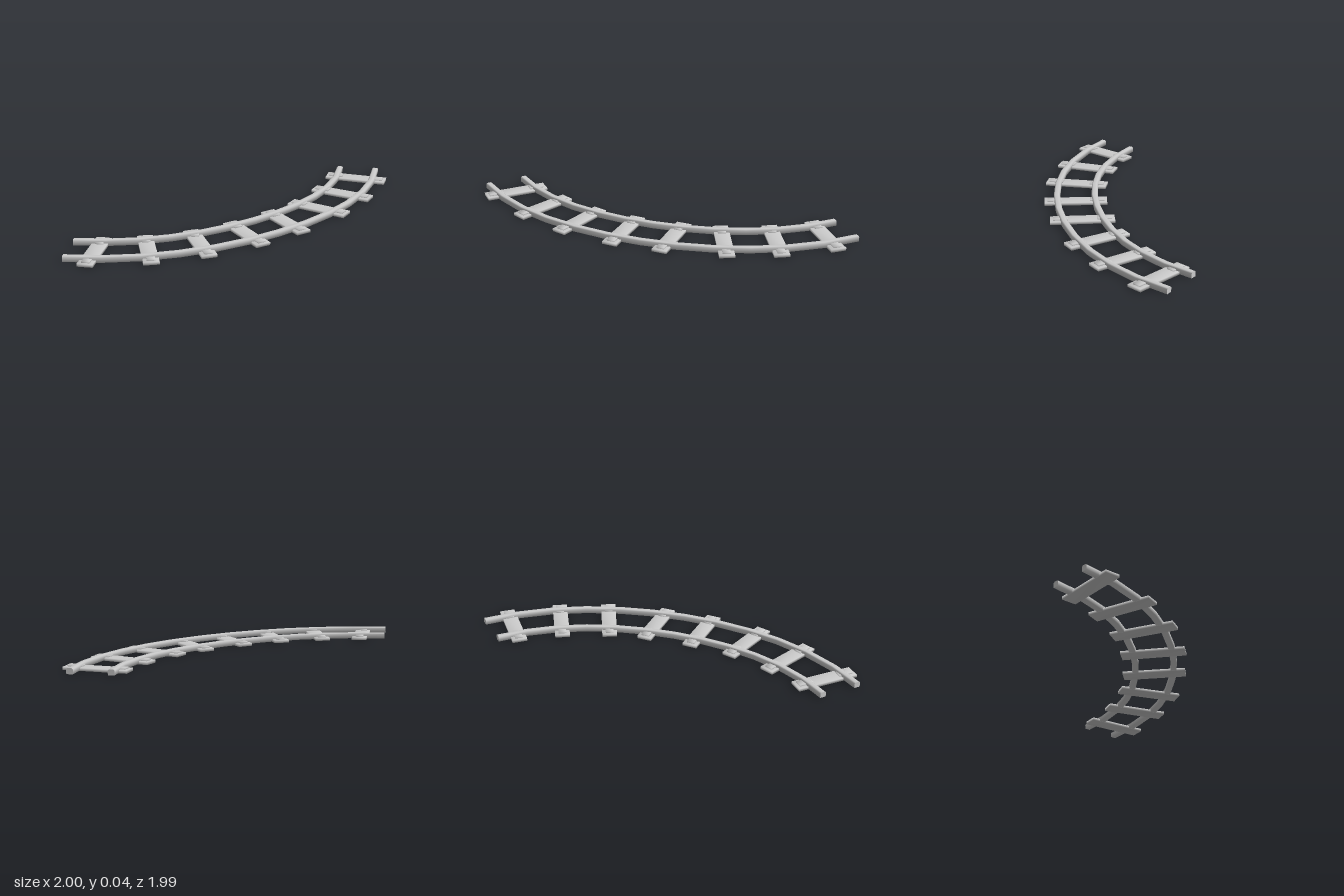
import * as THREE from 'three';
import { mergeVertices } from 'three/addons/utils/BufferGeometryUtils.js';

const material = new THREE.MeshStandardMaterial({ color: 0xcccccc });

// Box whose corners share normals, giving soft shading
function softBox(w, h, d) {
  const g = new THREE.BoxGeometry(w, h, d);
  g.deleteAttribute('normal');
  g.deleteAttribute('uv');
  const merged = mergeVertices(g);
  merged.computeVertexNormals();
  return merged;
}

function addMesh(parent, geometry, name, x = 0, y = 0, z = 0) {
  const mesh = new THREE.Mesh(geometry, material);
  mesh.name = name;
  mesh.position.set(x, y, z);
  parent.add(mesh);
}

// Rail section as [offset across, height], swept round a quarter bend
const section = [[-0.021, 0.003], [0.021, 0.003], [0.022, 0.035], [0.013, 0.042], [-0.013, 0.042], [-0.022, 0.035]];

function railGeometry(radius, steps = 12) {
  const n = section.length, points = [], index = [];
  const addRing = (i) => {
    const a = (i / steps) * Math.PI / 2;
    // the bend is slightly flatter than a circle in the middle
    const r = radius - 0.052 * Math.sin(2 * a) ** 2;
    for (const [across, y] of section) {
      points.push(-1 + (r + across) * Math.cos(a), y, -1 + (r + across) * Math.sin(a));
    }
  };
  for (let i = 0; i <= steps; i++) addRing(i);
  for (let i = 0; i < steps; i++) {
    for (let j = 0; j < n; j++) {
      const a = i * n + j, b = i * n + (j + 1) % n;
      index.push(a, b, a + n, b, b + n, a + n);
    }
  }
  // Separate end caps keep the cut ends crisp
  const start = (steps + 1) * n, end = start + n;
  addRing(0);
  addRing(steps);
  for (let j = 1; j < n - 1; j++) {
    index.push(start, start + j + 1, start + j, end, end + j, end + j + 1);
  }
  const g = new THREE.BufferGeometry();
  g.setAttribute('position', new THREE.Float32BufferAttribute(points, 3));
  g.setIndex(index);
  g.computeVertexNormals();
  return g;
}

// Hand-laid sleepers: centre x, centre z, angle in degrees
const sleepers = [
  [0.775, -0.834, 8.7], [0.69, -0.5, 19.6], [0.543, -0.187, 23], [0.337, 0.094, 49.6],
  [0.099, 0.337, 51.5], [-0.179, 0.543, 63.8], [-0.495, 0.687, 72.5], [-0.829, 0.767, 92.8],
];

export function createModel() {
  const model = new THREE.Group();
  model.name = 'curvedTrack';

  addMesh(model, railGeometry(1.645), 'innerRail');
  addMesh(model, railGeometry(1.912), 'outerRail');

  const plank = softBox(0.44, 0.02, 0.105);
  const plate = softBox(0.1, 0.02, 0.055);
  sleepers.forEach(([x, z, degrees], i) => {
    const sleeper = new THREE.Group();
    sleeper.name = `sleeper${i + 1}`;
    sleeper.position.set(x, 0, z);
    sleeper.rotation.y = -THREE.MathUtils.degToRad(degrees);
    addMesh(sleeper, plank, 'plank', 0, 0.01, 0);
    // Fixing plates under each rail
    addMesh(sleeper, plate, 'innerPlate', -0.15, 0.02, 0);
    addMesh(sleeper, plate, 'outerPlate', 0.15, 0.02, 0);
    model.add(sleeper);
  });
  return model;
}
